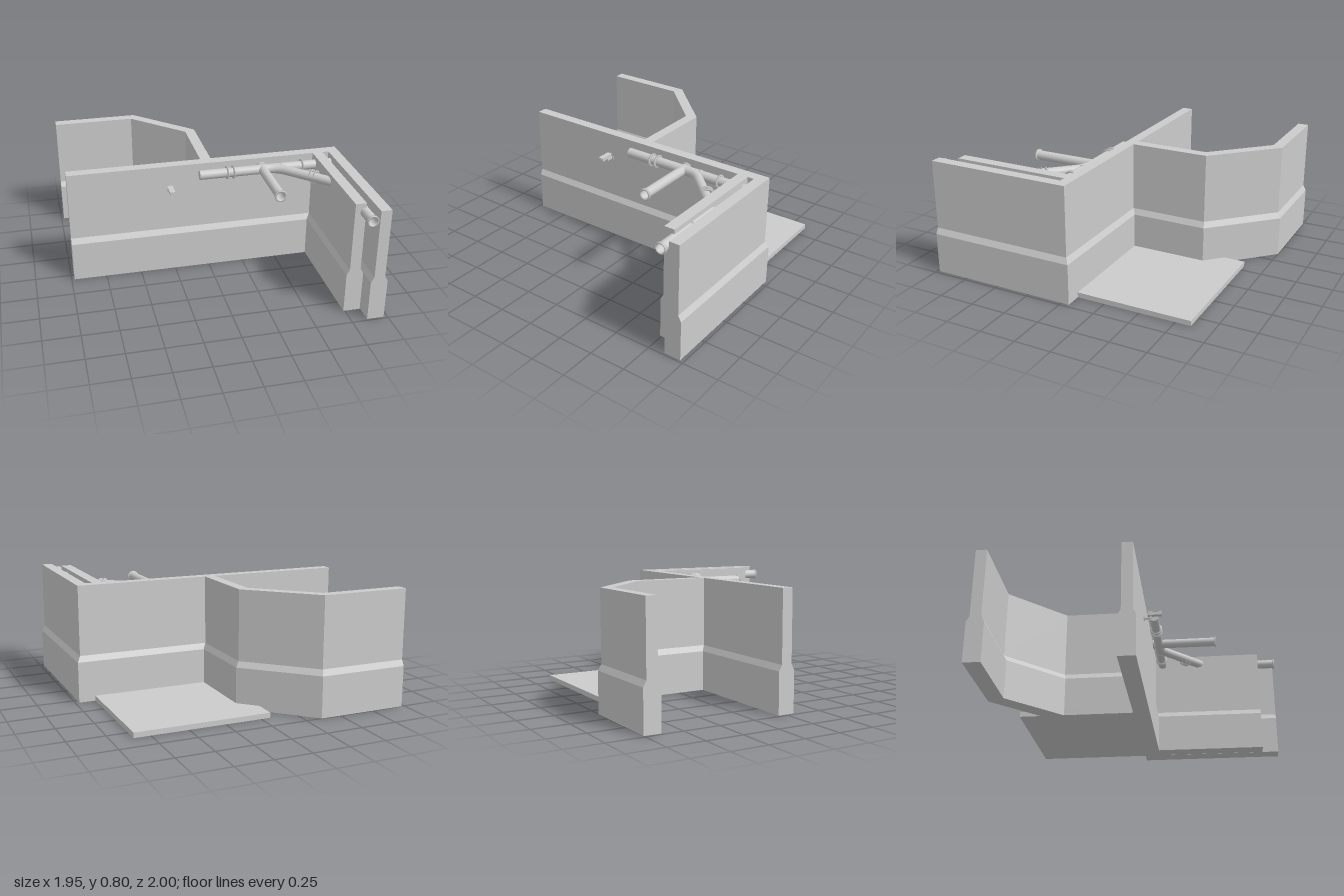
import * as THREE from 'three';

const material = new THREE.MeshStandardMaterial({ color: 0xcccccc, side: THREE.DoubleSide });
const PIPE_Y = 0.738, PIPE_R = 0.033;

// Wall cross-section: [sideways offset, height], with a thicker plinth
const PROFILE = [
  [-0.058, 0], [0.058, 0], [0.058, 0.28], [0.037, 0.32],
  [0.037, 0.8], [-0.037, 0.8], [-0.037, 0.32], [-0.058, 0.28],
];

// Sweeps the wall profile along [x, z] points with mitred corners
function wallGeometry(points) {
  const path = points.map(([x, z]) => new THREE.Vector2(x, z));
  const normals = path.slice(1).map((p, i) => {
    const d = p.clone().sub(path[i]).normalize();
    return new THREE.Vector2(-d.y, d.x);
  });
  const rings = path.map((p, i) => {
    const a = normals[Math.max(i - 1, 0)];
    const b = normals[Math.min(i, normals.length - 1)];
    const mitre = a.clone().add(b).divideScalar(1 + a.dot(b));
    return PROFILE.map(([o, y]) => [p.x + mitre.x * o, y, p.y + mitre.y * o]);
  });
  const pos = [];
  const quad = (a, b, c, d) => pos.push(...a, ...b, ...c, ...a, ...c, ...d);
  for (let s = 0; s < rings.length - 1; s++) {
    const [a, b] = [rings[s], rings[s + 1]];
    PROFILE.forEach((_, i) => {
      const j = (i + 1) % PROFILE.length;
      quad(a[i], b[i], b[j], a[j]);
    });
  }
  const first = rings[0], last = rings[rings.length - 1];
  for (const [a, b, c, d] of [[0, 1, 2, 7], [7, 2, 3, 6], [6, 3, 4, 5]]) {
    quad(first[a], first[b], first[c], first[d]);
    quad(last[d], last[c], last[b], last[a]);
  }
  const g = new THREE.BufferGeometry();
  g.setAttribute('position', new THREE.Float32BufferAttribute(pos, 3));
  g.computeVertexNormals();
  return g;
}

function add(parent, name, geometry, x = 0, y = 0, z = 0) {
  const mesh = new THREE.Mesh(geometry, material);
  mesh.name = name;
  mesh.position.set(x, y, z);
  parent.add(mesh);
  return mesh;
}

// Pipe through [x, z] points at pipe height, with rounded elbows
function pipe(parent, name, points, bend = 0.07) {
  const p = points.map(([x, z]) => new THREE.Vector3(x, PIPE_Y, z));
  const curve = new THREE.CurvePath();
  let from = p[0];
  for (let i = 1; i < p.length - 1; i++) {
    const start = p[i].clone().add(p[i - 1].clone().sub(p[i]).setLength(bend));
    const end = p[i].clone().add(p[i + 1].clone().sub(p[i]).setLength(bend));
    curve.add(new THREE.LineCurve3(from, start));
    curve.add(new THREE.QuadraticBezierCurve3(start, p[i], end));
    from = end;
  }
  curve.add(new THREE.LineCurve3(from, p[p.length - 1]));
  add(parent, name, new THREE.TubeGeometry(curve, p.length > 2 ? 48 : 1, PIPE_R, 24));
}

// Ring around a pipe, its axis turned by angle from +z towards +x
function collar(parent, name, x, z, angle, radius, width) {
  const h = width / 2, r = PIPE_R - 0.004;
  const profile = [[r, -h], [radius, -h], [radius, h], [r, h], [r, -h]]
    .map(([a, b]) => new THREE.Vector2(a, b));
  const g = new THREE.LatheGeometry(profile, 24).rotateX(Math.PI / 2).rotateY(angle);
  add(parent, name, g, x, PIPE_Y, z);
}

export function createModel() {
  const model = new THREE.Group();

  // Walls
  const walls = new THREE.Group();
  walls.name = 'walls';
  model.add(walls);
  add(walls, 'mainWall', wallGeometry([[-0.98, 0.003], [0.916, 0.003], [0.916, 0.985]]));
  add(walls, 'innerWall', wallGeometry([[0.797, 0.02], [0.797, 0.862]]));
  add(walls, 'backWall', wallGeometry([[-0.98, -0.943], [-0.385, -0.943], [-0.005, -0.565], [-0.005, 0]]));

  // Floor slab behind the main wall
  add(model, 'floorSlab', new THREE.BoxGeometry(0.925, 0.035, 0.85), 0.398, 0.0176, -0.43);

  // Pipework
  const pipes = new THREE.Group();
  pipes.name = 'pipework';
  model.add(pipes);
  pipe(pipes, 'mainPipe', [[-0.075, 0.095], [0.875, 0.095]]);
  pipe(pipes, 'branchPipe', [[0.375, 0.05], [0.375, 0.53]]);
  pipe(pipes, 'diagonalPipe', [[0.38, 0.095], [0.475, 0.095], [0.828, 0.448], [0.828, 0.99]]);
  add(pipes, 'pipeCap', new THREE.CircleGeometry(PIPE_R, 24).rotateY(-Math.PI / 2), -0.075, PIPE_Y, 0.095);

  const across = Math.PI / 2, slant = Math.PI / 4;
  for (const x of [0.12, 0.165, 0.66]) collar(pipes, 'pipeCollar', x, 0.095, across, 0.046, 0.01);
  for (const t of [0.2, 0.222]) collar(pipes, 'pipeCollar', 0.475 + t, 0.095 + t - 0.02, slant, 0.046, 0.01);
  collar(pipes, 'pipeCollar', 0.51, 0.095, across, 0.037, 0.01);
  collar(pipes, 'pipeCollar', 0.828, 0.69, 0, 0.042, 0.01);
  collar(pipes, 'branchFlange', 0.375, 0.528, 0, 0.041, 0.012);
  collar(pipes, 'branchFlange', 0.375, 0.065, 0, 0.04, 0.012);
  collar(pipes, 'outletFlange', 0.828, 0.989, 0, 0.039, 0.014);

  // Small camera on a wall bracket
  const cam = new THREE.Group();
  cam.name = 'wallCamera';
  cam.position.set(-0.279, 0.65, 0);
  model.add(cam);
  add(cam, 'cameraBody', new THREE.BoxGeometry(0.03, 0.024, 0.095), 0, 0, 0.117);
  add(cam, 'cameraHood', new THREE.BoxGeometry(0.038, 0.005, 0.105), 0, 0.0125, 0.117);
  add(cam, 'cameraLens', new THREE.CylinderGeometry(0.009, 0.009, 0.006, 16).rotateX(Math.PI / 2), 0, 0, 0.166);
  add(cam, 'bracketPost', new THREE.BoxGeometry(0.01, 0.025, 0.012), 0, -0.02, 0.09);
  add(cam, 'bracketArm', new THREE.BoxGeometry(0.01, 0.01, 0.06), 0, -0.03, 0.066);
  add(cam, 'bracketPlate', new THREE.BoxGeometry(0.022, 0.024, 0.008), 0, -0.03, 0.043);

  return model;
}
